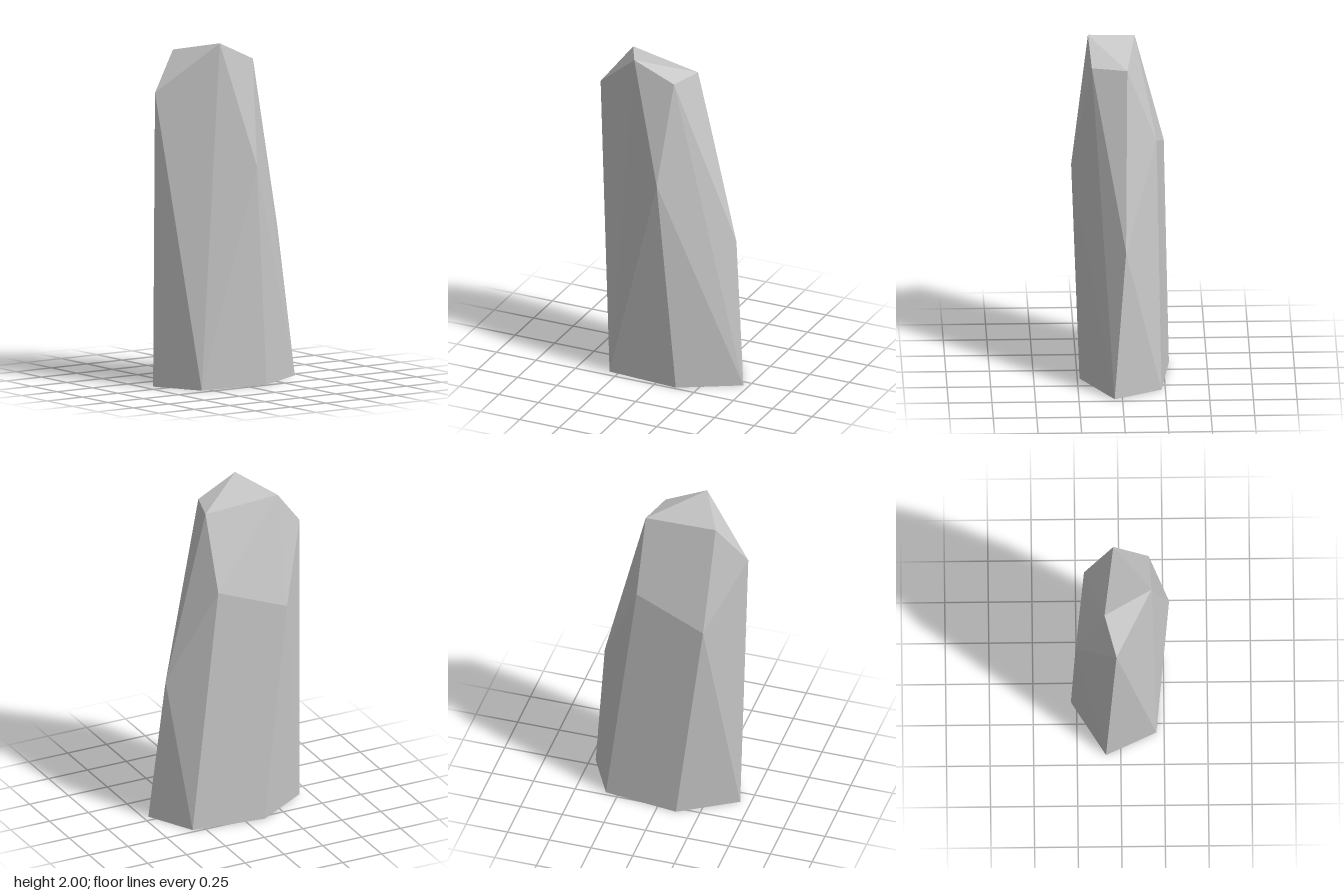
import * as THREE from 'three';

export function createModel() {
  const stone = new THREE.MeshStandardMaterial({ color: 0xc7c7c7, flatShading: true, side: THREE.DoubleSide });
  stone.name = 'stone grey';

  // Corners of the rock, ring by ring
  const corner = {
    // foot
    A: [-0.44, 0, -0.085], B: [-0.305, 0, 0.205], C: [0.13, 0, 0.237],
    D: [0.468, 0, 0.045], E: [0.322, 0, -0.228], F: [-0.115, 0, -0.283],
    // shoulder
    G: [0.03, 1.28, 0.282], H: [0.392, 0.87, -0.023], I: [0.145, 1.46, -0.205],
    J: [-0.27, 1.31, -0.258], K: [-0.47, 1.715, -0.025],
    // crown
    P: [-0.16, 2, 0.18], Q: [0.085, 1.888, 0.165], R: [0.142, 1.89, -0.037], S: [-0.295, 1.942, -0.092],
  };

  // Facets, counter-clockwise from outside; the foot stays open
  const sides = 'BCG CDG DQG DHQ DEH EIH EFJ EJI FAJ AKJ ABK BPK BGP GQP HIR HRQ';
  const crown = 'IJS ISR JKS KPS PQR PRS';
  const facets = `${sides} ${crown}`.split(' ');
  const positions = facets.flatMap((facet) => [...facet].flatMap((name) => corner[name]));

  const geometry = new THREE.BufferGeometry();
  geometry.setAttribute('position', new THREE.Float32BufferAttribute(positions, 3));
  geometry.computeVertexNormals();

  const rock = new THREE.Mesh(geometry, stone);
  rock.name = 'standingRock';

  const group = new THREE.Group();
  group.name = 'rock';
  group.add(rock);
  return group;
}
